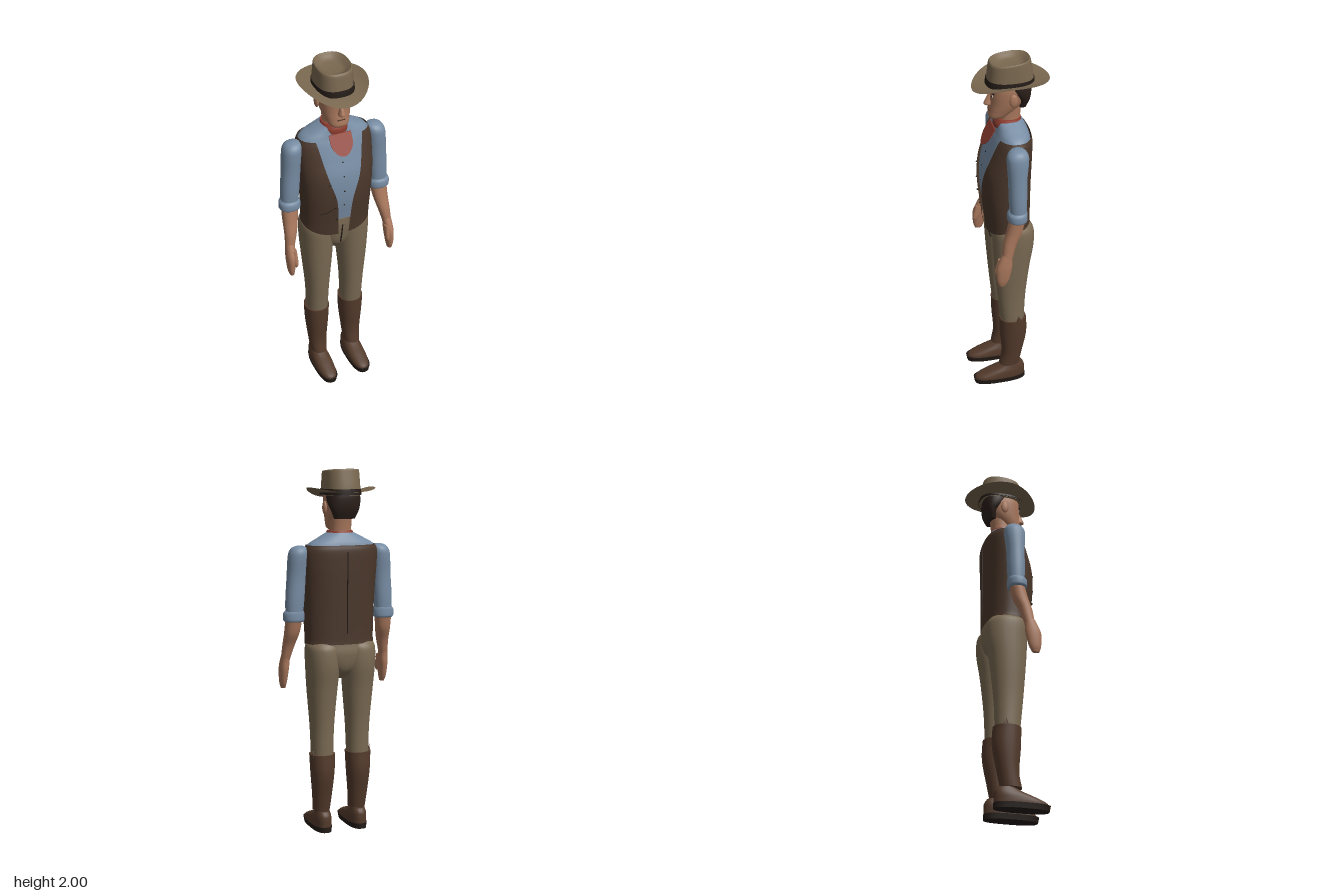
import * as THREE from 'three';
import { mergeGeometries } from 'three/addons/utils/BufferGeometryUtils.js';
import { ParametricGeometry } from 'three/addons/geometries/ParametricGeometry.js';

const mat = (name, color, side = THREE.FrontSide) => {
  const m = new THREE.MeshStandardMaterial({ color, side });
  m.name = name;
  return m;
};

// Smooth interpolation through rows of numbers, t from 0 to 1
function sampler(rows) {
  const size = rows[0].length;
  const f = new THREE.CubicInterpolant(rows.map((_, i) => i), rows.flat(), size, new Float32Array(size));
  return t => Array.from(f.evaluate(t * (rows.length - 1)));
}

// Point on a rounded cross-section [y, centre x, half width, front z, back z]
function ringPoint([y, cx, rx, zf, zb], angle, n, target) {
  const s = Math.sin(angle), c = Math.cos(angle);
  const p = v => Math.sign(v) * Math.abs(v) ** (2 / n);
  return target.set(cx + rx * p(s), y, (zf + zb) / 2 + (zf - zb) / 2 * p(c));
}

// Closed body through cross-sections listed from the bottom up
function loft(rows, n = 2.2, segs = 32) {
  const at = sampler(rows), steps = (rows.length - 1) * 4, TAU = Math.PI * 2;
  const side = new ParametricGeometry((u, v, t) => ringPoint(at(v), u * TAU, n, t), segs, steps);
  const cap = top => {
    const row = at(top ? 1 : 0);
    const mid = new THREE.Vector3(row[1], row[0], (row[3] + row[4]) / 2);
    const g = new ParametricGeometry((u, v, t) =>
      ringPoint(row, u * TAU, n, t).lerp(mid, top ? v : 1 - v), segs, 1);
    g.computeVertexNormals();
    return g;
  };
  return mergeGeometries([side, cap(false), cap(true)]);
}

export function createModel() {
  const group = new THREE.Group();
  group.name = 'cowhand';
  const shirt = mat('shirt blue', 0x778ca3), vest = mat('vest brown', 0x4a372b, THREE.DoubleSide);
  const cloth = mat('trouser tan', 0x7a6a53), felt = mat('hat tan', 0x7a6850, THREE.DoubleSide);
  const leather = mat('boot leather', 0x533a2b), skin = mat('skin', 0xa8775c);
  const hair = mat('hair', 0x2b1f1a), red = mat('neckerchief red', 0x8e3d2f, THREE.DoubleSide);
  const dark = mat('dark trim', 0x231b17), white = mat('eye white', 0xc9bfb4);

  const add = (name, geo, material, x = 0, y = 0, z = 0, parent = group) => {
    const m = new THREE.Mesh(geo, material);
    m.name = name;
    m.position.set(x, y, z);
    parent.add(m);
    return m;
  };
  const wire = (name, pts, r, material) => add(name, new THREE.TubeGeometry(
    new THREE.CatmullRomCurve3(pts.map(p => new THREE.Vector3(...p))), 24, r, 6), material);
  const ball = (name, material, pos, scale) =>
    add(name, new THREE.SphereGeometry(1, 16, 12), material, ...pos).scale.set(...scale);

  // Torso
  add('shirt', loft([
    [1.1, 0, .18, .12, -.105], [1.25, 0, .187, .14, -.108], [1.38, 0, .194, .136, -.11],
    [1.48, 0, .198, .11, -.112], [1.56, 0, .198, .085, -.112], [1.6, 0, .182, .07, -.105],
    [1.63, 0, .13, .062, -.092], [1.66, 0, .072, .058, -.075]], 2.4, 48), shirt);
  add('pelvis', loft([
    [.865, 0, .03, .045, -.05], [.92, 0, .085, .085, -.1], [1, 0, .165, .105, -.118],
    [1.06, 0, .184, .113, -.112], [1.105, 0, .182, .122, -.106]], 2.3), cloth);

  // Open vest: last number in each row is the half width of the front opening
  const vestAt = sampler([
    [1.06, 0, .192, .127, -.116, .03], [1.1, 0, .191, .134, -.115, .034], [1.25, 0, .197, .152, -.117, .046],
    [1.38, 0, .204, .149, -.12, .085], [1.48, 0, .208, .122, -.122, .108], [1.56, 0, .207, .096, -.122, .123],
    [1.595, 0, .194, .083, -.115, .13]]);
  add('vest', new ParametricGeometry((u, v, t) => {
    const row = vestAt(v), start = Math.asin((row[5] / row[2]) ** 1.2);
    const a = start + u * (2 * Math.PI - 2 * start);
    ringPoint(row, a, 2.4, t);
    t.y -= .045 * Math.max(0, Math.cos(a)) ** 1.5 * Math.max(0, 1 - v * 4);
  }, 56, 32), vest);
  wire('vestBackSeam', [[0, 1.12, -.116], [0, 1.28, -.119], [0, 1.45, -.123], [0, 1.56, -.122]], .003, dark);
  wire('watchChain', [[-.14, 1.17, .12], [-.1, 1.185, .138], [-.055, 1.215, .151]], .002, dark);
  [[1.47, .115], [1.39, .134], [1.3, .141], [1.21, .137]].forEach(([y, z]) =>
    ball('shirtButton', dark, [0, y, z], [.004, .004, .003]));
  [[-.085, 1.365, .146], [-.063, 1.285, .152], [-.052, 1.21, .15], [-.045, 1.13, .141]].forEach(p =>
    ball('vestButton', dark, p, [.005, .005, .004]));

  // Waist fastening
  add('beltBuckle', new THREE.BoxGeometry(.06, .04, .009), cloth, 0, 1.09, .122);
  wire('flySeam', [[0, 1.07, .117], [0, 1.02, .111], [0, .93, .091]], .004, dark);

  // Legs, boots and arms
  for (const s of [1, -1]) {
    const limb = (name, rows, material, n) =>
      add((s > 0 ? 'left' : 'right') + name, loft(rows.map(([y, cx, ...r]) => [y, cx * s, ...r]), n), material);
    limb('TrouserLeg', [
      [.42, .105, .06, .06, -.072], [.6, .105, .065, .078, -.08], [.8, .105, .081, .094, -.102],
      [.93, .104, .09, .102, -.123], [1.02, .104, .092, .105, -.123], [1.055, .1, .088, .098, -.11],
      [1.075, .095, .07, .08, -.09]], cloth);
    limb('BootShaft', [
      [.113, .106, .046, .07, -.045], [.2, .106, .053, .055, -.062], [.33, .106, .064, .064, -.087],
      [.44, .106, .07, .067, -.084]], leather);
    const tab = add('bootPullTab', new THREE.ConeGeometry(.02, .05, 4), leather, s * .168, .452, -.03);
    tab.scale.x = .25;
    limb('Shoe', [
      [.028, .105, .053, .215, -.077], [.045, .105, .053, .2, -.077], [.07, .105, .05, .14, -.077],
      [.092, .105, .043, .08, -.074], [.113, .105, .036, .035, -.06]], leather, 2.5);
    limb('Sole', [[0, .105, .05, .216, -.08], [.03, .105, .055, .222, -.08]], dark, 2.7);

    limb('Sleeve', [
      [1.2, .262, .046, .045, -.04], [1.3, .257, .051, .05, -.045], [1.42, .249, .051, .052, -.047],
      [1.52, .242, .052, .057, -.057], [1.56, .237, .049, .054, -.056], [1.583, .231, .038, .036, -.04],
      [1.593, .228, .014, .012, -.014]], shirt);
    limb('Cuff', [
      [1.184, .262, .05, .048, -.04], [1.194, .262, .058, .059, -.046], [1.226, .262, .058, .059, -.046],
      [1.242, .26, .05, .05, -.044]], shirt);
    limb('Forearm', [
      [.97, .291, .024, .095, .04], [1.05, .278, .033, .085, .015], [1.12, .268, .041, .065, -.018],
      [1.2, .262, .046, .045, -.036]], skin);
    limb('Hand', [
      [.805, .296, .012, .116, .078], [.84, .297, .019, .126, .06], [.91, .295, .025, .128, .043],
      [.96, .292, .025, .11, .04], [1, .288, .024, .09, .035]], skin);
    limb('Thumb', [
      [.865, .277, .006, .128, .112], [.89, .275, .011, .132, .1], [.96, .277, .013, .115, .07]], skin);

    // Paired face parts
    ball('ear', skin, [s * .091, 1.793, -.015], [.011, .036, .022]);
    ball('eye', white, [s * .034, 1.806, .084], [.014, .007, .004]);
    ball('iris', dark, [s * .034, 1.806, .087], [.006, .006, .003]);
    add('eyebrow', new THREE.BoxGeometry(.038, .008, .008), hair, s * .036, 1.827, .085).rotation.set(0, s * .2, -s * .12);
  }

  // Head and face
  add('neck', loft([[1.62, 0, .062, .052, -.07], [1.68, 0, .058, .045, -.07], [1.77, 0, .06, .04, -.08]]), skin);
  add('head', loft([
    [1.67, 0, .034, .088, .04], [1.685, 0, .054, .1, .005], [1.72, 0, .068, .096, -.045],
    [1.76, 0, .079, .091, -.085], [1.81, 0, .086, .09, -.105], [1.85, 0, .086, .088, -.11],
    [1.9, 0, .075, .08, -.1]], 2.3), skin);
  add('nose', loft([
    [1.742, 0, .011, .104, .07], [1.752, 0, .018, .122, .07], [1.775, 0, .013, .114, .07],
    [1.815, 0, .009, .094, .07]]), skin);
  add('mouth', new THREE.BoxGeometry(.044, .005, .008), leather, 0, 1.718, .094);
  add('hair', loft([
    [1.735, 0, .058, -.05, -.098], [1.78, 0, .077, -.042, -.117], [1.82, 0, .089, -.005, -.124],
    [1.86, 0, .091, .02, -.124], [1.89, 0, .085, .03, -.115]], 2.5), hair);

  // Neckerchief
  add('neckerchief', loft([[1.622, 0, .078, .072, -.082], [1.645, 0, .077, .072, -.08], [1.67, 0, .068, .062, -.072]]), red);
  const flap = new THREE.Shape();
  flap.moveTo(-.062, 1.625);
  flap.lineTo(-.062, 1.58);
  flap.bezierCurveTo(-.055, 1.545, -.025, 1.52, 0, 1.52);
  flap.bezierCurveTo(.025, 1.52, .055, 1.545, .062, 1.58);
  flap.lineTo(.062, 1.625);
  const flapGeo = new THREE.ExtrudeGeometry(flap, { depth: .005, bevelEnabled: false });
  const p = flapGeo.attributes.position;
  for (let i = 0; i < p.count; i++) p.setZ(i, p.getZ(i) + .07 + (1.63 - p.getY(i)) * .58);
  flapGeo.computeVertexNormals();
  add('neckerchiefFlap', flapGeo, red);

  // Hat: curled brim, dented crown leaning back, dark band
  add('hatBrim', new ParametricGeometry((u, v, t) => {
    const r = .35 + .65 * v, s = Math.sin(u * 2 * Math.PI), c = Math.cos(u * 2 * Math.PI);
    t.set(.182 * r * s, 1.868 + .034 * r ** 3 * s * s + (c > 0 ? -.028 : .012) * c * c * r * r, -.02 + .203 * r * c);
    if (c < 0) t.y += .024 * c * c * r * r * (1 - r) ;
  }, 64, 14), felt);
  const crown = loft([
    [1.86, 0, .099, .108, -.14], [1.9, 0, .097, .103, -.137], [1.97, 0, .094, .095, -.124],
    [1.987, 0, .092, .09, -.12], [1.991, 0, .087, .084, -.115], [1.985, 0, .08, .074, -.107],
    [1.966, 0, .055, .045, -.08], [1.96, 0, .02, 0, -.04]], 2.5, 48);
  const q = crown.attributes.position;
  for (let i = 0; i < q.count; i++) {
    const lean = THREE.MathUtils.smoothstep(q.getY(i), 1.87, 1.98);
    q.setY(i, q.getY(i) - .085 * (q.getZ(i) + .015) * lean);
  }
  add('hatCrown', crown, felt);
  add('hatBand', loft([[1.862, 0, .103, .112, -.144], [1.893, 0, .1, .107, -.141]], 2.5, 48), dark);
  return group;
}
